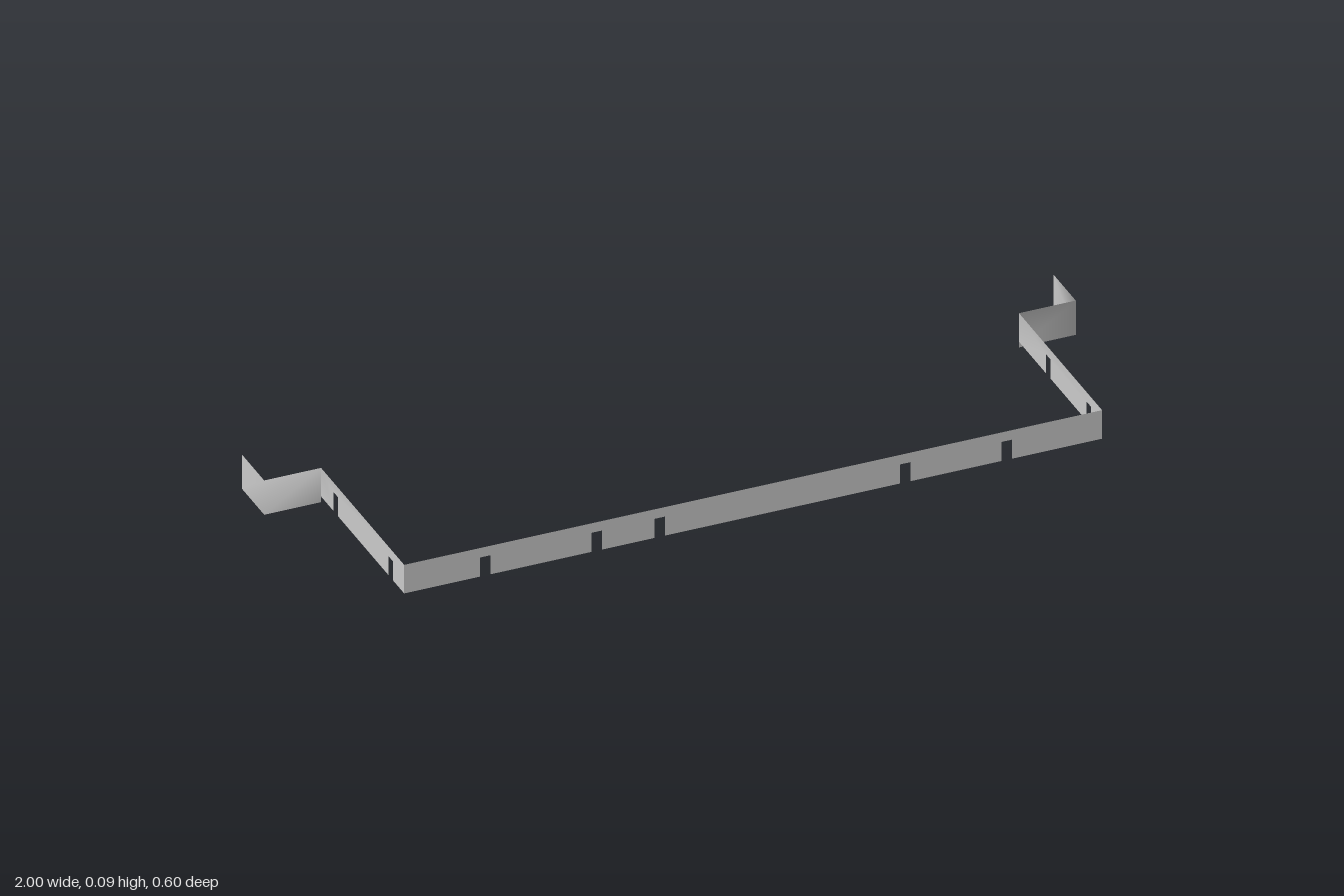
import * as THREE from 'three';
import { mergeGeometries, mergeVertices } from 'three/addons/utils/BufferGeometryUtils.js';

const TOP = 0.09, LOW = 0.015, NOTCH_TOP = 0.065, NOTCH_W = 0.026;

// Upright sheet between two plan points [x, z]; notches are distances along it.
function panel(a, b, bottom, notches = []) {
  const dx = b[0] - a[0], dz = b[1] - a[1], len = Math.hypot(dx, dz);
  const s = new THREE.Shape();
  s.moveTo(0, bottom);
  for (const n of notches) {
    s.lineTo(n - NOTCH_W / 2, bottom);
    s.lineTo(n - NOTCH_W / 2, NOTCH_TOP);
    s.lineTo(n + NOTCH_W / 2, NOTCH_TOP);
    s.lineTo(n + NOTCH_W / 2, bottom);
  }
  s.lineTo(len, bottom);
  s.lineTo(len, TOP);
  s.lineTo(0, TOP);
  const g = new THREE.ShapeGeometry(s);
  g.rotateY(Math.atan2(-dz, dx));
  g.translate(a[0], 0, a[1]);
  return g;
}

// Joins sheets so the shading runs smoothly round their bends.
function smoothJoin(panels) {
  for (const g of panels) {
    g.deleteAttribute('uv');
    g.deleteAttribute('normal');
  }
  const g = mergeVertices(mergeGeometries(panels));
  g.computeVertexNormals();
  return g;
}

export function createModel() {
  const model = new THREE.Group();
  model.name = 'bentStrip';
  const material = new THREE.MeshStandardMaterial({ color: 0xcccccc, side: THREE.DoubleSide });
  const add = (name, geometry) => {
    const mesh = new THREE.Mesh(geometry, material);
    mesh.name = name;
    model.add(mesh);
  };
  const X = 0.86, FRONT = 0.298, BEND = -0.172, BACK = -0.298;

  // Long front strip with its slots
  const frontNotches = [-0.66, -0.385, -0.23, 0.375, 0.625].map((x) => x + X);
  add('frontStrip', panel([-X, FRONT], [X, FRONT], LOW, frontNotches));

  // Left arm: side strip, outward step and rear tab
  add('leftArm', smoothJoin([
    panel([X, FRONT], [X, BEND], LOW, [FRONT - 0.222, FRONT + 0.006]),
    panel([X, BEND], [1, BEND], 0),
    panel([1, BEND], [1, BACK], 0),
  ]));

  // Right arm, with the rear slot further back
  add('rightArm', smoothJoin([
    panel([-1, BACK], [-1, BEND], 0),
    panel([-1, BEND], [-X, BEND], 0),
    panel([-X, BEND], [-X, FRONT], LOW, [-0.088 - BEND, 0.222 - BEND]),
  ]));
  return model;
}
